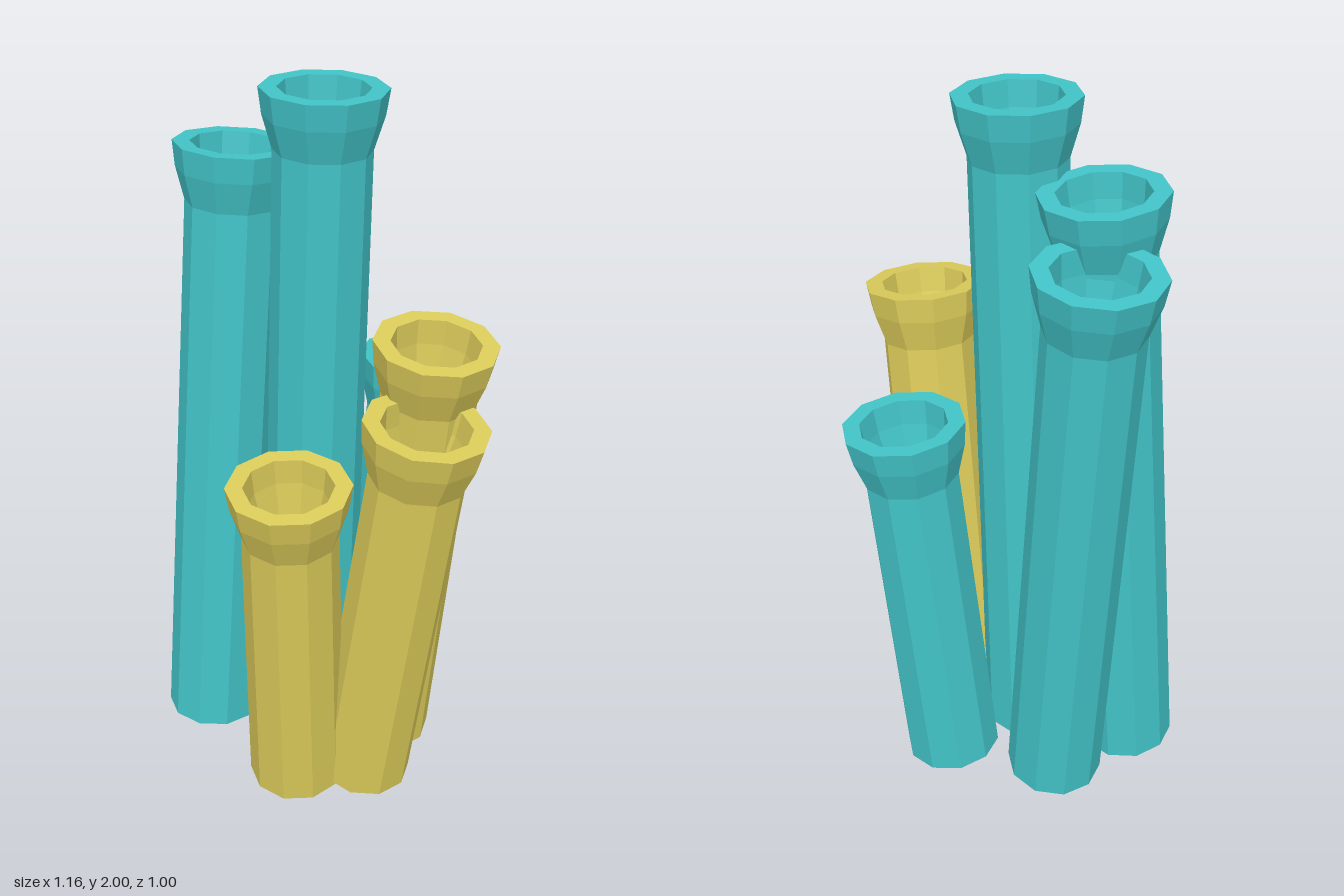
import * as THREE from 'three';

const UP = new THREE.Vector3(0, 1, 0);

// Hollow ten-sided tube with a flared rim, running from the origin up to the given length
function tubeGeometry(length) {
  const profile = [
    [0.09, 0], [0.138, 0],               // bottom ring
    [0.131, length - 0.16],              // outer shaft
    [0.158, length - 0.07], [0.168, length], // flare
    [0.121, length],                     // lip
    [0.114, length - 0.07], [0.094, length - 0.16], // inner flare
    [0.09, 0],                           // bore
  ].map(([r, y]) => new THREE.Vector2(r, y));
  return new THREE.LatheGeometry(profile, 10).rotateY(Math.PI / 10);
}

export function createModel() {
  const group = new THREE.Group();
  group.name = 'tubeCluster';

  const teal = new THREE.MeshStandardMaterial({ color: 0x42c3c7, flatShading: true });
  const yellow = new THREE.MeshStandardMaterial({ color: 0xdbcb5a, flatShading: true });

  // name, material, centre of the foot, centre of the rim
  const tubes = [
    ['tallCentreTube', teal, [-0.055, 0.025, -0.01], [0, 1.994, -0.014]],
    ['frontRightTube', teal, [-0.325, 0.022, 0.125], [-0.272, 1.81, 0.003]],
    ['backRightTube', teal, [-0.262, 0.022, -0.135], [-0.415, 1.705, -0.177]],
    ['backTube', teal, [0.025, 0.022, -0.275], [0.105, 1.152, -0.345]],
    ['backLeftTube', yellow, [0.165, 0.024, -0.095], [0.344, 1.376, -0.025]],
    ['frontLeftTube', yellow, [0.223, 0.024, 0.11], [0.415, 1.225, 0.135]],
    ['frontTube', yellow, [0.07, 0.02, 0.232], [0.127, 1.05, 0.338]],
  ];

  for (const [name, material, foot, rim] of tubes) {
    const start = new THREE.Vector3(...foot);
    const axis = new THREE.Vector3(...rim).sub(start);
    const tube = new THREE.Mesh(tubeGeometry(axis.length()), material);
    tube.name = name;
    tube.position.copy(start);
    tube.quaternion.setFromUnitVectors(UP, axis.normalize());
    group.add(tube);
  }
  return group;
}
